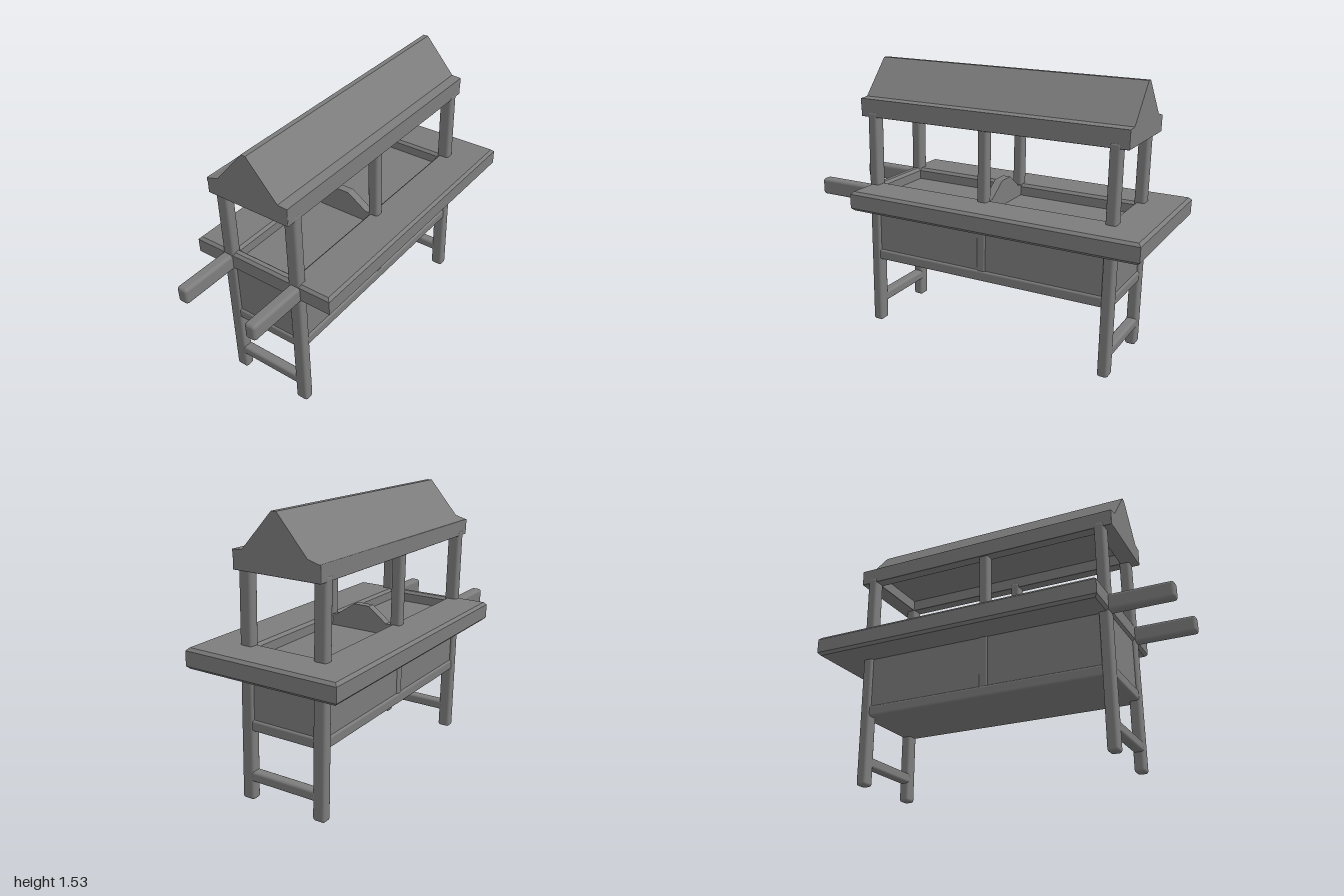
import * as THREE from 'three';
import { RoundedBoxGeometry } from 'three/addons/geometries/RoundedBoxGeometry.js';

export function createModel() {
  const model = new THREE.Group();
  model.name = 'marketStall';
  // the whole stall leans slightly to its right
  const stall = new THREE.Group();
  stall.name = 'leaningStall';
  stall.position.set(0.02, 0.007, 0);
  stall.rotation.z = 0.029;
  model.add(stall);

  const material = new THREE.MeshStandardMaterial({ color: 0x7c7c7c });

  const add = (name, geometry) => {
    const mesh = new THREE.Mesh(geometry, material);
    mesh.name = name;
    stall.add(mesh);
    return mesh;
  };
  // box given by its extents, edges softened by radius r
  const beam = (name, [x0, x1], [y0, y1], [z0, z1], r) => {
    add(name, new RoundedBoxGeometry(x1 - x0, y1 - y0, z1 - z0, 3, r))
      .position.set((x0 + x1) / 2, (y0 + y1) / 2, (z0 + z1) / 2);
  };
  const outline = (points) => new THREE.Shape(points.map(([x, y]) => new THREE.Vector2(x, y)));

  const FRONT = [0.603, 0.662], BACK = [-0.812, -0.753], MIDDLE = [-0.082, -0.026];

  // posts, push handles and roof beams, mirrored left and right
  for (const side of [-1, 1]) {
    const label = side > 0 ? 'left' : 'right';
    const across = (a, b) => (side > 0 ? [a, b] : [-b, -a]);
    beam(label + 'FrontPost', across(0.181, 0.253), [0, 1.25], FRONT, 0.015);
    beam(label + 'BackPost', across(0.181, 0.253), [0, 1.25], BACK, 0.015);
    beam(label + 'MiddlePost', across(0.181, 0.242), [0.42, 1.25], MIDDLE, 0.015);
    beam(label + 'Handle', across(0.19, 0.255), [0.726, 0.82], [0.6, 1], 0.018);
    beam(label + 'RoofBeam', across(0.185, 0.25), [1.22, 1.31], [-0.855, 0.705], 0.004);
  }

  // cross pieces at both ends
  for (const [label, z] of [['front', FRONT], ['back', BACK]]) {
    beam(label + 'Stretcher', [-0.2, 0.2], [0.105, 0.163], z, 0.015);
  }
  beam('frontRoofBeam', [-0.246, 0.246], [1.22, 1.31], [0.61, 0.705], 0.004);
  beam('backRoofBeam', [-0.246, 0.246], [1.22, 1.31], [-0.855, -0.76], 0.004);

  // cabinet below the counter, its panels nearly flush with the posts
  beam('cabinetBase', [-0.247, 0.247], [0.386, 0.446], [-0.808, 0.658], 0.012);
  beam('cabinet', [-0.236, 0.236], [0.42, 0.77], [-0.797, 0.647], 0.004);

  // counter: bevelled slab with a sunken tray between the posts
  const bevel = 0.015;
  const rim = outline([[-0.418, -0.645], [0.42, -0.645], [0.42, 0.985], [-0.418, 0.985]]);
  rim.holes.push(outline([[-0.2, -0.62], [-0.2, 0.77], [0.2, 0.77], [0.2, -0.62]]));
  const counter = new THREE.ExtrudeGeometry(rim, {
    depth: 0.109 - 2 * bevel, bevelEnabled: true, bevelSize: bevel, bevelThickness: bevel, bevelSegments: 1,
  });
  counter.rotateX(-Math.PI / 2);
  add('counter', counter).position.y = 0.726 + bevel;

  // raised divider between the middle posts
  const divider = new THREE.ExtrudeGeometry(
    outline([[-0.19, 0.74], [0.19, 0.74], [0.19, 0.832], [0.16, 0.835], [0.047, 0.912], [-0.047, 0.912], [-0.155, 0.832], [-0.19, 0.832]]),
    { depth: 0.045, bevelEnabled: false });
  add('divider', divider).position.z = -0.078;

  // gabled roof
  const roof = new THREE.ExtrudeGeometry(
    outline([[-0.25, 1.285], [0.25, 1.285], [0.25, 1.32], [0.194, 1.324], [0.022, 1.522], [-0.006, 1.522], [-0.178, 1.326], [-0.249, 1.306]]),
    { depth: 1.56, bevelEnabled: false });
  add('roof', roof).position.z = -0.855;

  return model;
}
